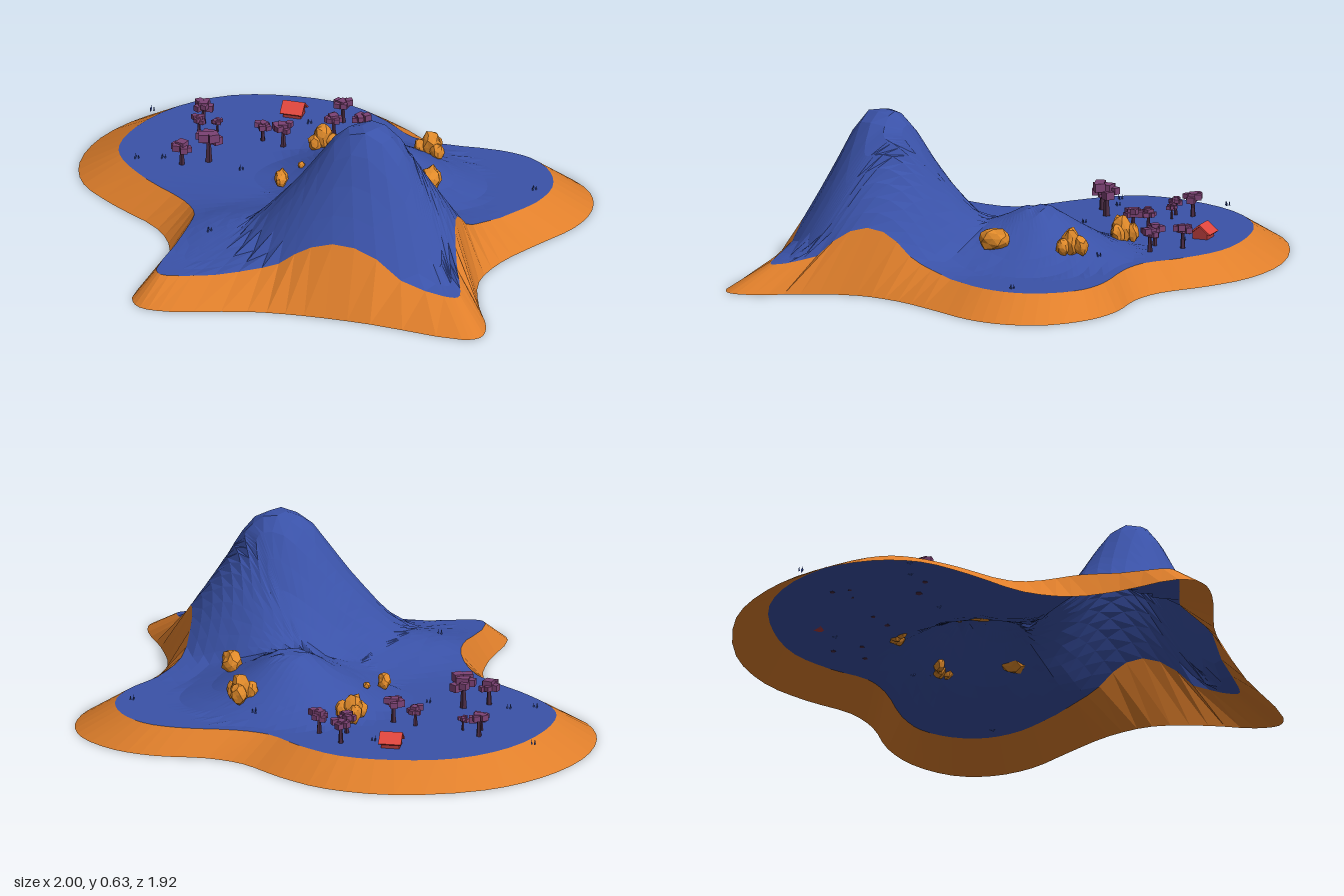
import * as THREE from 'three';

const mat = (color, side = THREE.FrontSide) =>
  new THREE.MeshStandardMaterial({ color, flatShading: true, side });
const GRASS = mat(0x3a52a8, THREE.DoubleSide);
const CLIFF = mat(0xe07f2b, THREE.DoubleSide);
const ROCK = mat(0xe08a2a);
const LEAF = mat(0x7c4274);
const TRUNK = mat(0x4a2c44);
const ROOF = mat(0xe0463e, THREE.DoubleSide);
const WALL = mat(0xb03a3a);

// Shoreline and matching plateau edge: [shore x, shore z, edge x, edge z]
const OUTLINE = [
  [-0.27, -0.965, -0.26, -0.82], [0, -0.91, -0.05, -0.785], [0.18, -0.79, 0.11, -0.68],
  [0.33, -0.65, 0.235, -0.56], [0.47, -0.595, 0.36, -0.52], [0.67, -0.58, 0.59, -0.505],
  [0.83, -0.52, 0.72, -0.46], [0.96, -0.39, 0.81, -0.36], [0.997, -0.24, 0.845, -0.23],
  [0.96, -0.08, 0.81, -0.09], [0.85, 0.09, 0.7, 0.07], [0.74, 0.27, 0.62, 0.21],
  [0.69, 0.45, 0.59, 0.37], [0.73, 0.66, 0.62, 0.56], [0.79, 0.83, 0.67, 0.73],
  [0.785, 0.925, 0.673, 0.79], [0.72, 0.955, 0.62, 0.8], [0.35, 0.89, 0.35, 0.755],
  [0.09, 0.865, 0.09, 0.725], [-0.13, 0.87, -0.1, 0.73], [-0.42, 0.925, -0.36, 0.785],
  [-0.54, 0.91, -0.48, 0.795], [-0.585, 0.83, -0.505, 0.75], [-0.53, 0.59, -0.45, 0.48],
  [-0.52, 0.4, -0.44, 0.32], [-0.6, 0.23, -0.51, 0.16], [-0.8, 0.06, -0.69, -0.01],
  [-0.95, -0.1, -0.81, -0.16], [-1, -0.28, -0.845, -0.27], [-0.96, -0.51, -0.81, -0.45],
  [-0.82, -0.73, -0.69, -0.65], [-0.61, -0.89, -0.5, -0.785],
];
const SEGMENTS = 96, RINGS = 13;

let seed = 7;
const rand = () => (seed = (seed * 16807) % 2147483647) / 2147483647;

// Straight-line lookup in a [distance, value] profile
function lookup(profile, d) {
  for (let i = 1; i < profile.length; i++) {
    const [d0, v0] = profile[i - 1], [d1, v1] = profile[i];
    if (d <= d1) return v0 + (v1 - v0) * (d - d0) / (d1 - d0);
  }
  return profile[profile.length - 1][1];
}

const PEAK = [[0, 0.54], [0.06, 0.54], [0.12, 0.48], [0.23, 0.3], [0.33, 0.15], [0.41, 0.04], [0.5, 0.015], [0.6, 0]];
const KNOLL = [[0, 0.18], [0.05, 0.18], [0.17, 0.1], [0.27, 0.04], [0.38, 0]];

// Ground height: flat plateau, main peak, small knoll and a low spur
function height(x, z) {
  const dx = x - 0.27, dz = z - 0.47;
  const peak = lookup(PEAK, Math.hypot(dx * (dx < 0 ? 0.85 : 1), dz * (dz > 0 ? 1.2 : 1.03)));
  const knoll = lookup(KNOLL, Math.hypot((x - 0.18) * 0.9, z + 0.13));
  const spur = 0.05 * Math.exp(-(((x + 0.32) / 0.22) ** 2) - ((z - 0.4) / 0.2) ** 2);
  return 0.09 + peak + knoll + spur;
}

// Closed smooth ring through two columns of the outline
function ring(col) {
  const curve = new THREE.CatmullRomCurve3(
    OUTLINE.map((p) => new THREE.Vector3(p[col], 0, p[col + 1])), true);
  return Array.from({ length: SEGMENTS }, (_, i) => curve.getPoint(i / SEGMENTS));
}

// Skin a list of rings, running from the inside out
function loft(rings) {
  const index = [];
  for (let k = 0; k < rings.length - 1; k++) {
    for (let i = 0; i < SEGMENTS; i++) {
      const j = (i + 1) % SEGMENTS;
      const a = k * SEGMENTS + i, b = k * SEGMENTS + j, c = a + SEGMENTS, d = b + SEGMENTS;
      index.push(a, d, c);
      if (rings[k][i].distanceTo(rings[k][j]) > 1e-6) index.push(a, b, d);
    }
  }
  const geo = new THREE.BufferGeometry().setFromPoints(rings.flat());
  geo.setIndex(index);
  const flat = geo.toNonIndexed();
  flat.computeVertexNormals();
  return flat;
}

function add(parent, name, geo, material, x = 0, y = 0, z = 0) {
  const mesh = new THREE.Mesh(geo, material);
  mesh.name = name;
  mesh.position.set(x, y, z);
  parent.add(mesh);
  return mesh;
}

function place(parent, name, x, z, turn = 0) {
  const group = new THREE.Group();
  group.name = name;
  group.position.set(x, height(x, z), z);
  group.rotation.y = turn;
  parent.add(group);
  return group;
}

// Angular boulder: a low-poly ball pushed in and out by direction
function boulder(parent, x, z, w, h, d, turn) {
  const geo = new THREE.IcosahedronGeometry(1, 1);
  const p = geo.attributes.position, v = new THREE.Vector3();
  for (let i = 0; i < p.count; i++) {
    v.fromBufferAttribute(p, i);
    const s = 0.88 + 0.14 * Math.sin(v.x * 5 + turn * 3) * Math.cos(v.z * 4 + v.y * 3 + turn);
    p.setXYZ(i, v.x * s * w / 2, v.y * s * h / 2, v.z * s * d / 2);
  }
  geo.computeVertexNormals();
  add(parent, 'boulder', geo, ROCK, x, h * 0.3, z).rotation.set(0.15 * Math.sin(turn), turn, 0.2 * Math.cos(turn));
}

// Tree: thin trunk with a crown of small tilted blocks
function tree(parent, x, z, size) {
  const g = place(parent, 'tree', x, z, rand() * 3);
  add(g, 'trunk', new THREE.CylinderGeometry(0.09 * size, 0.15 * size, 0.9 * size, 5), TRUNK, 0, 0.43 * size, 0);
  for (let i = 0; i < 6; i++) {
    const a = i * 1.26, r = i === 5 ? 0 : 0.33 * size;
    const s = size * (i === 5 ? 0.5 : 0.3 + 0.12 * rand());
    add(g, 'crownBlock', new THREE.BoxGeometry(s, s * 0.85, s), LEAF,
      Math.cos(a) * r, size * (i === 5 ? 1.1 : 0.85 + 0.4 * rand()), Math.sin(a) * r).rotation.y = a;
  }
}

// Cottage: walls with gable ends and two overhanging roof slabs
function house(parent) {
  const g = place(parent, 'house', -0.24, -0.66, -0.1);
  const gable = new THREE.Shape([[-0.03, 0], [0.03, 0], [0.03, 0.025], [0, 0.05], [-0.03, 0.025]]
    .map(([x, y]) => new THREE.Vector2(x, y)));
  const walls = new THREE.ExtrudeGeometry(gable, { depth: 0.07, bevelEnabled: false });
  walls.translate(0, 0, -0.035).rotateY(Math.PI / 2);
  add(g, 'walls', walls, WALL);
  for (const s of [-1, 1]) {
    add(g, 'roof', new THREE.BoxGeometry(0.088, 0.006, 0.056), ROOF, 0, 0.037, s * 0.021)
      .rotation.x = s * 0.69;
  }
}

export function createModel() {
  const model = new THREE.Group();
  model.name = 'island';

  // Land surface in shrinking rings, and the sloping cliff around it
  const edge = ring(2), centre = new THREE.Vector3(0.06, 0, 0);
  const rings = Array.from({ length: RINGS + 1 }, (_, k) => edge.map((e) => {
    const p = centre.clone().lerp(e, k / RINGS);
    return p.setY(height(p.x, p.z));
  }));
  add(model, 'land', loft(rings), GRASS);
  add(model, 'cliff', loft([rings[RINGS], ring(0)]), CLIFF);

  // Boulders: two jagged clusters and three single stones
  for (const [x, z, turn] of [[-0.075, -0.385, 0.4], [0.36, -0.31, 2]]) {
    const g = place(model, 'rockCluster', x, z, turn);
    boulder(g, 0, 0, 0.08, 0.13, 0.08, turn);
    boulder(g, 0.033, 0.02, 0.06, 0.09, 0.07, turn + 1);
    boulder(g, -0.035, 0.015, 0.06, 0.08, 0.06, turn + 2);
    boulder(g, 0.01, -0.04, 0.06, 0.09, 0.05, turn + 3);
  }
  for (const [x, z, w, h, d] of [[0.415, -0.02, 0.085, 0.1, 0.14], [-0.17, -0.035, 0.055, 0.07, 0.12], [-0.11, -0.13, 0.03, 0.03, 0.035]]) {
    boulder(place(model, 'rock', x, z), 0, 0, w, h, d, 0.1);
  }

  // Grove of trees: x, z, size
  for (const [x, z, size] of [
    [-0.565, -0.525, 0.07], [-0.57, -0.455, 0.05], [-0.5, -0.46, 0.04], [-0.315, -0.42, 0.06],
    [-0.23, -0.385, 0.075], [-0.06, -0.52, 0.065], [-0.045, -0.635, 0.07], [0.045, -0.53, 0.07],
    [-0.485, -0.205, 0.095], [-0.58, -0.16, 0.075],
  ]) tree(model, x, z, size);

  house(model);

  // Tiny grass tufts
  for (const [x, z] of [[-0.76, -0.18], [-0.35, -0.155], [0.78, -0.195], [-0.35, 0.49], [-0.78, -0.6], [-0.66, -0.2], [-0.17, -0.6], [0.3, -0.4]]) {
    const g = place(model, 'grassTuft', x, z);
    for (let i = 0; i < 3; i++) {
      add(g, 'blade', new THREE.ConeGeometry(0.004, 0.02, 3), GRASS,
        Math.cos(i * 2.1) * 0.008, 0.008, Math.sin(i * 2.1) * 0.008);
    }
  }
  return model;
}
